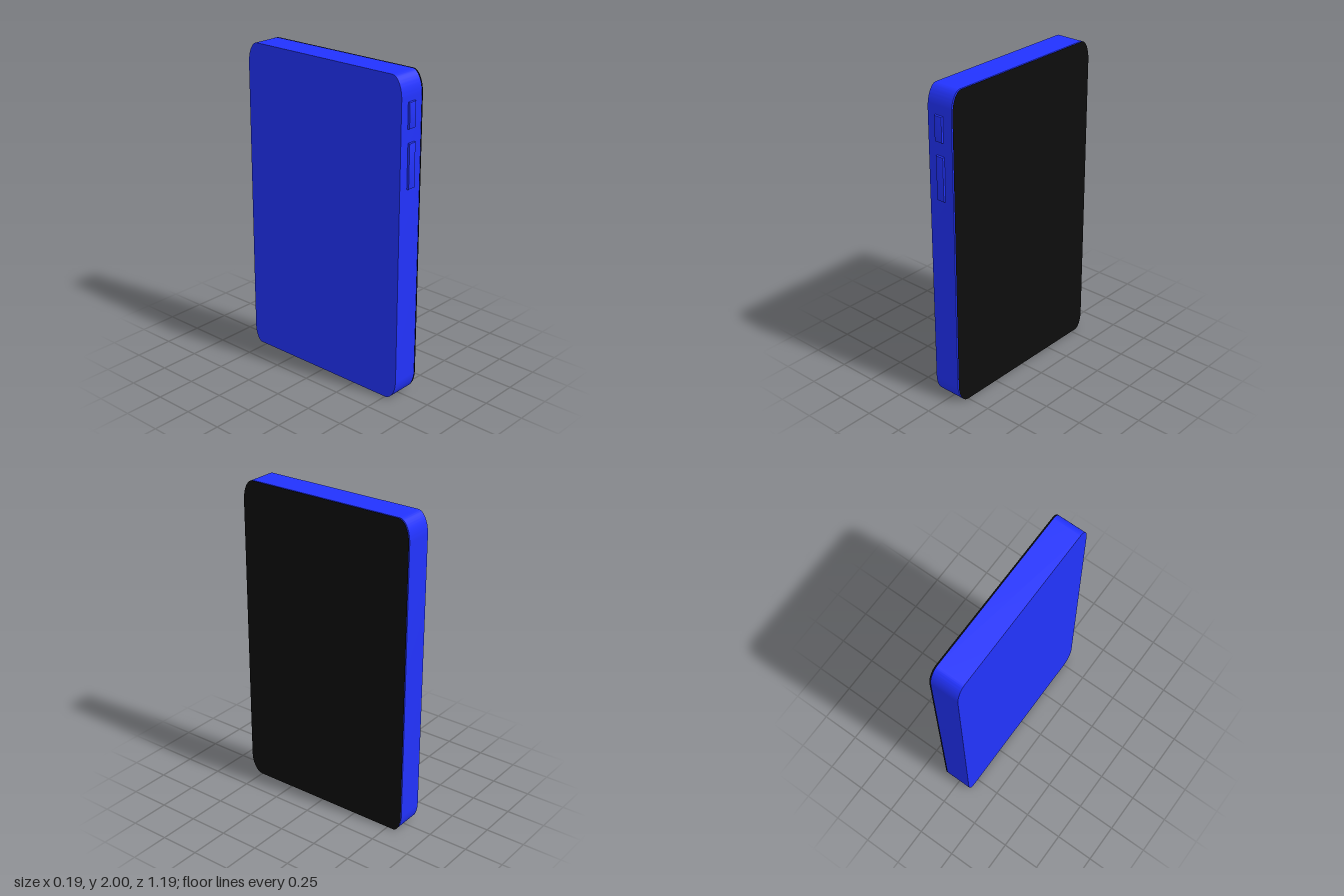
import * as THREE from 'three';
import { toCreasedNormals } from 'three/addons/utils/BufferGeometryUtils.js';

const blue = new THREE.MeshStandardMaterial({ color: 0x2233ff });
const black = new THREE.MeshStandardMaterial({ color: 0x0d0d0d, side: THREE.DoubleSide });

// Side outline, drawn with u = -z and y up; each corner is a quarter ellipse
function outline() {
  const u0 = -0.58, u1 = 0.594, top = 2;
  const s = new THREE.Shape();
  s.moveTo(u0 + 0.08, 0);
  s.lineTo(u1 - 0.055, 0);
  s.absellipse(u1 - 0.055, 0.11, 0.055, 0.11, -Math.PI / 2, 0);
  s.lineTo(u1, top - 0.135);
  s.absellipse(u1 - 0.07, top - 0.135, 0.07, 0.135, 0, Math.PI / 2);
  s.lineTo(u0 + 0.07, top);
  s.absellipse(u0 + 0.07, top - 0.135, 0.07, 0.135, Math.PI / 2, Math.PI);
  s.lineTo(u0, 0.13);
  s.absellipse(u0 + 0.08, 0.13, 0.08, 0.13, Math.PI, Math.PI * 1.5);
  return s;
}

// Raised button on the front edge with a chamfered rim
function button(name, x0, x1, y0, y1) {
  const b = 0.007;
  const s = new THREE.Shape();
  s.moveTo(x0 + b, y0 + b);
  s.lineTo(x1 - b, y0 + b);
  s.lineTo(x1 - b, y1 - b);
  s.lineTo(x0 + b, y1 - b);
  const geo = new THREE.ExtrudeGeometry(s, {
    depth: 0.02, bevelEnabled: true, bevelSize: b, bevelThickness: b, bevelSegments: 2,
  });
  geo.translate(0, 0, 0.594 - 0.02 - b);
  const mesh = new THREE.Mesh(toCreasedNormals(geo, 0.6), blue);
  mesh.name = name;
  return mesh;
}

export function createModel() {
  const model = new THREE.Group();
  model.name = 'handset';
  const shape = outline();

  // Slab body, extruded along x
  let bodyGeo = new THREE.ExtrudeGeometry(shape, { depth: 0.177, bevelEnabled: false, curveSegments: 12 });
  bodyGeo.rotateY(Math.PI / 2).translate(-0.093, 0, 0);
  const body = new THREE.Mesh(toCreasedNormals(bodyGeo, 0.6), blue);
  body.name = 'body';

  // Screen sheet just off the +x face
  const screenGeo = new THREE.ShapeGeometry(shape, 12);
  screenGeo.rotateY(Math.PI / 2).translate(0.092, 0, 0);
  const screen = new THREE.Mesh(screenGeo, black);
  screen.name = 'screen';

  model.add(
    body,
    screen,
    button('upperButton', -0.036, 0.02, 1.69, 1.845),
    button('lowerButton', -0.031, 0.024, 1.335, 1.607),
  );
  return model;
}
